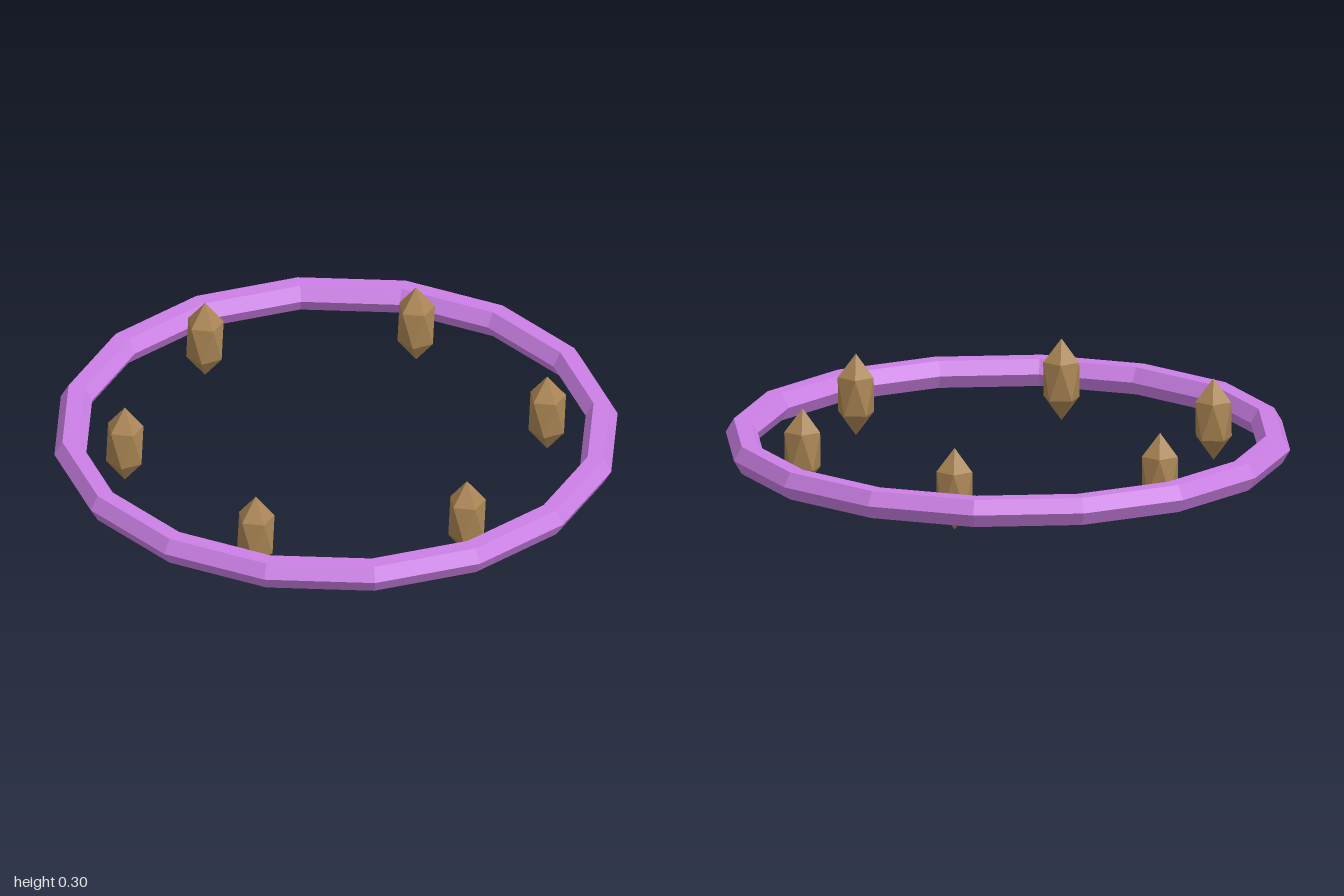
import * as THREE from 'three';

const CRYSTALS = 6;
const CRYSTAL_ORBIT = 0.75;

export function createModel() {
  const model = new THREE.Group();
  model.name = 'crystalRing';
  const purple = new THREE.MeshStandardMaterial({ color: 0xcc80e6, flatShading: true });
  const bronze = new THREE.MeshStandardMaterial({ color: 0xaa8554, flatShading: true });

  // Sixteen-sided ring with a hexagonal section, lying flat
  const ringGeometry = new THREE.TorusGeometry(0.943, 0.057, 6, 16);
  ringGeometry.rotateX(Math.PI / 2);
  const ring = new THREE.Mesh(ringGeometry, purple);
  ring.name = 'ring';
  ring.position.y = 0.124;
  model.add(ring);

  // Icosahedron turned to stand on a vertex, then stretched upward
  const crystalGeometry = new THREE.IcosahedronGeometry(0.0745, 0);
  crystalGeometry.rotateZ(-Math.atan(2 / (1 + Math.sqrt(5))));
  crystalGeometry.scale(1, 2, 1);

  // Crystals spaced evenly inside the ring, all facing the same way
  const crystals = new THREE.Group();
  crystals.name = 'crystals';
  for (let i = 0; i < CRYSTALS; i++) {
    const angle = (i / CRYSTALS) * Math.PI * 2;
    const crystal = new THREE.Mesh(crystalGeometry, bronze);
    crystal.name = `crystal${i + 1}`;
    crystal.position.set(Math.cos(angle) * CRYSTAL_ORBIT, 0.149, Math.sin(angle) * CRYSTAL_ORBIT);
    crystals.add(crystal);
  }
  model.add(crystals);

  return model;
}
